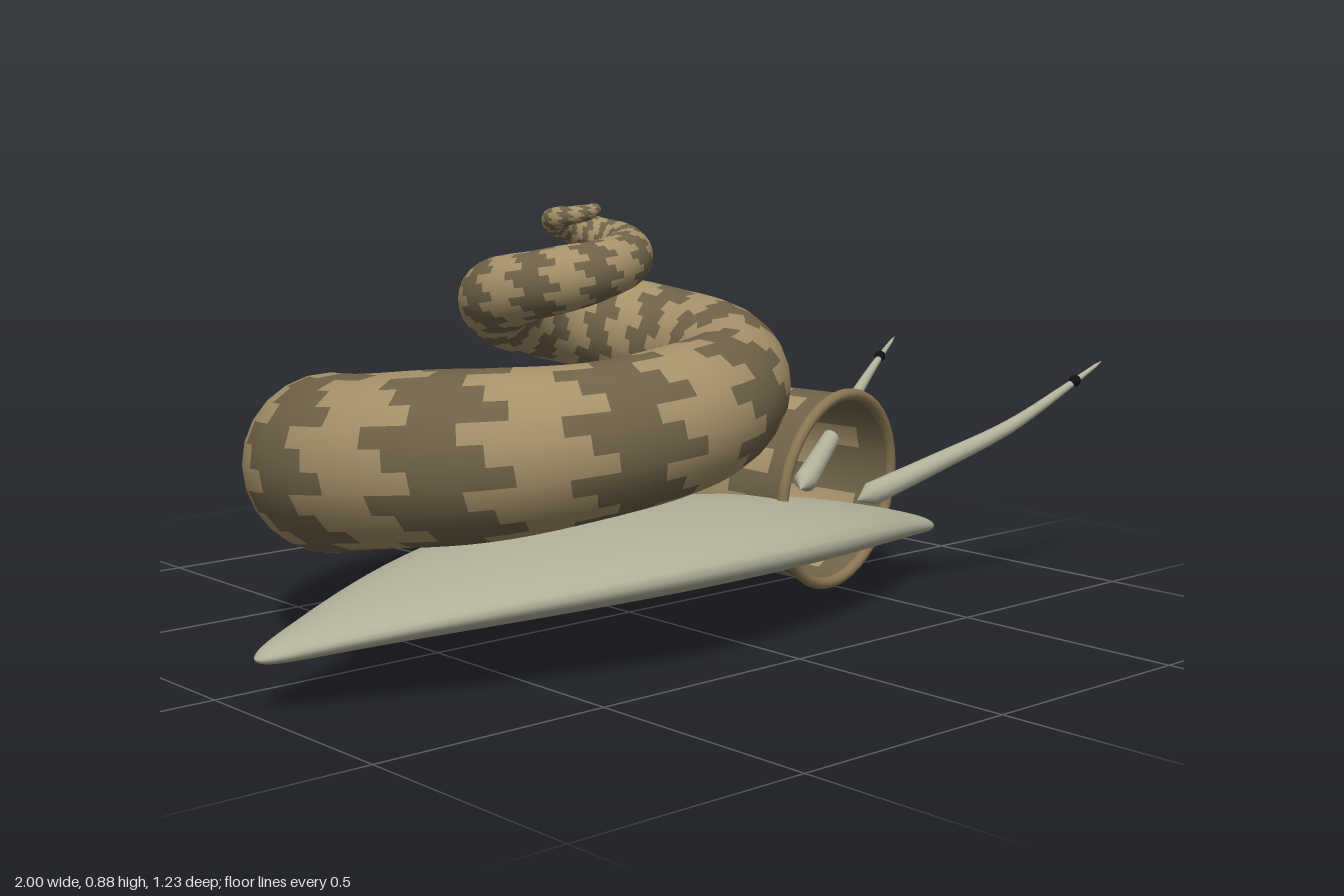
import * as THREE from 'three';

const paint = (color, side = THREE.FrontSide) => new THREE.MeshStandardMaterial({ color, side });
const V = (x, y, z) => new THREE.Vector3(x, y, z);

function addMesh(parent, name, geometry, material) {
  const mesh = new THREE.Mesh(geometry, material);
  mesh.name = name;
  parent.add(mesh);
  return mesh;
}

// Closed loops of m points, n + 1 of them, joined into a smooth skin
function loft(n, m, point) {
  const pos = [], index = [];
  for (let i = 0; i <= n; i++)
    for (let j = 0; j < m; j++) pos.push(...point(i / n, (j / m) * Math.PI * 2).toArray());
  for (let i = 0; i < n; i++)
    for (let j = 0; j < m; j++) {
      const a = i * m + j, c = i * m + (j + 1) % m;
      index.push(a, a + m, c, a + m, c + m, c);
    }
  const g = new THREE.BufferGeometry();
  g.setAttribute('position', new THREE.Float32BufferAttribute(pos, 3));
  g.setIndex(index);
  g.computeVertexNormals();
  return g;
}

// Upright frame along a path: centre, tangent, side, up
function frame(path, t) {
  const e = 0.002;
  const tangent = path(Math.min(1, t + e)).sub(path(Math.max(0, t - e))).normalize();
  const side = tangent.clone().cross(V(0, 1, 0)).normalize();
  return { centre: path(t), tangent, side, up: side.clone().cross(tangent) };
}

// Round tube of varying radius along a path
const sweep = (n, m, path, radius) => loft(n, m, (t, a) => {
  const f = frame(path, t), r = radius(t);
  return f.centre.addScaledVector(f.side, r * Math.cos(a)).addScaledVector(f.up, r * Math.sin(a));
});

// Spiral per quarter turn from mouth to apex: distance from axis, height, tube radius
const spiral = new THREE.CatmullRomCurve3([
  [0.735, 0.228, 0.203], [0.56, 0.31, 0.187], [0.43, 0.425, 0.162], [0.33, 0.51, 0.132],
  [0.24, 0.595, 0.108], [0.182, 0.66, 0.087], [0.145, 0.725, 0.068], [0.108, 0.77, 0.055],
  [0.075, 0.805, 0.041], [0.055, 0.838, 0.029], [0.047, 0.855, 0.02], [0.035, 0.866, 0.014],
  [0.022, 0.872, 0.006],
].map((p) => V(...p)), false, 'catmullrom', 0.5);
const QUARTERS = 12;

function shellPath(t) {
  const p = spiral.getPoint(t), a = t * QUARTERS * Math.PI / 2;
  return V(-0.25 + p.x * Math.cos(a), p.y, 0.14 - p.x * Math.sin(a));
}

function shellRadius(t) {
  if (t === 1) return 0;
  const ripple = 1 + 0.018 * Math.sin(t * QUARTERS * 9) * Math.min(1, t * 20);
  const flare = 1 + 0.04 * Math.exp(-t * 120);
  return spiral.getPoint(t).z * ripple * flare;
}

// Coiled shell, split into light and dark bands with ragged borders
function makeShell() {
  const shell = new THREE.Group();
  shell.name = 'shell';
  const n = 216, m = 24, band = 4;
  const whole = sweep(n, m, shellPath, shellRadius);
  const faces = whole.index.array;
  const parts = [[], []];
  for (let i = 0; i < n; i++)
    for (let j = 0; j < m; j++) {
      const ragged = Math.round(0.7 * Math.sin(j * 2.1));
      const dark = Math.floor((i + ragged + 2 * band + 2) / band) % 2 === 0 ? 1 : 0;
      const k = (i * m + j) * 6;
      for (let v = 0; v < 6; v++) parts[dark].push(faces[k + v]);
    }
  ['lightShellBands', 'darkShellBands'].forEach((name, k) => {
    const g = whole.clone();
    g.setIndex(parts[k]);
    addMesh(shell, name, g, paint(k ? 0x6f6248 : 0xa59169, THREE.DoubleSide));
  });

  // Rolled lip around the mouth
  const f = frame(shellPath, 0);
  const rim = addMesh(shell, 'shellRim', new THREE.TorusGeometry(0.211, 0.013, 10, 40), paint(0x8a7653));
  rim.position.copy(f.centre);
  rim.quaternion.setFromUnitVectors(V(0, 0, 1), f.tangent.negate());
  return shell;
}

// Leaf-shaped foot, arched along its length with rounded tips
function makeFoot() {
  return loft(48, 28, (t, a) => {
    const s = -Math.cos(t * Math.PI), k = Math.max(0, 1 - s * s);
    const tip = Math.sqrt(Math.max(0, 1 - s ** 40));
    const width = (0.03 + 0.27 * k ** 1.25) * tip;
    const thick = (0.015 + 0.055 * k) * tip;
    return V(-0.105 + 0.895 * s, 0.108 + 0.082 * k + thick * Math.sin(a), 0.145 + width * Math.cos(a));
  });
}

// Tapered eye stalk with a small bead near the end; side is +1 or -1 across the foot
function makeStalk(side) {
  const stalk = new THREE.Group();
  stalk.name = side > 0 ? 'frontEyeStalk' : 'backEyeStalk';
  const at = (x, y, z) => V(x, y, 0.145 + side * z);
  const curve = new THREE.CatmullRomCurve3([
    at(0.45, 0.22, 0.085), at(0.62, 0.295, 0.165), at(0.77, 0.365, 0.235),
    at(0.9, 0.44, 0.28), at(1, 0.498, 0.307),
  ]);
  const radius = (t) => (t === 0 || t === 1 ? 0 : 0.024 * (1 - t) + 0.003);
  addMesh(stalk, 'stalk', sweep(24, 12, (t) => curve.getPoint(t), radius), paint(0xb0b09a));
  const eye = addMesh(stalk, 'eye', new THREE.SphereGeometry(0.013, 14, 10), paint(0x111111));
  eye.position.copy(at(0.928, 0.458, 0.289));
  return stalk;
}

export function createModel() {
  const model = new THREE.Group();
  model.name = 'snail';
  model.add(makeShell());
  addMesh(model, 'foot', makeFoot(), paint(0xb0b09a));
  for (const side of [1, -1]) model.add(makeStalk(side));
  return model;
}
